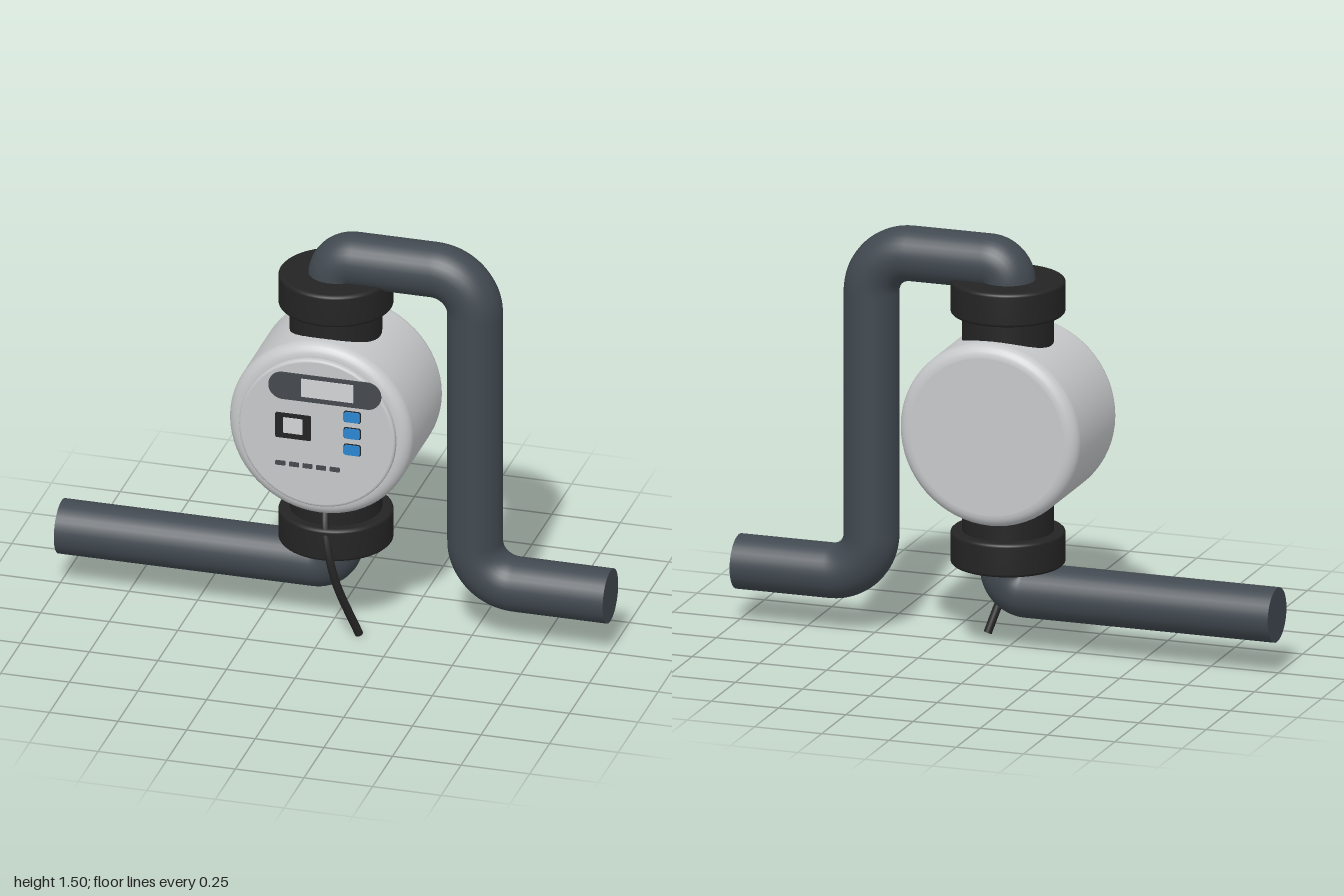
import * as THREE from 'three';

const mat = (name, color) => {
  const m = new THREE.MeshStandardMaterial({ color });
  m.name = name;
  return m;
};

export function createModel() {
  const group = new THREE.Group();
  const pipeGrey = mat('pipe slate', 0x414950);
  const black = mat('fitting black', 0x242424);
  const shell = mat('shell grey', 0xc6c8ca);
  const panelGrey = mat('panel dark grey', 0x44484e);
  const screenGrey = mat('screen light grey', 0xd2d3d5);
  const blue = mat('button blue', 0x2a86d0);
  const Z = -0.014; // plane of the pipes
  const CY = 0.825; // centre height of the pump body

  const add = (name, geometry, material, x = 0, y = 0, z = 0) => {
    const mesh = new THREE.Mesh(geometry, material);
    mesh.name = name;
    mesh.position.set(x, y, z);
    group.add(mesh);
    return mesh;
  };

  // Solid of revolution with rounded rims, from y = a to y = b
  const drum = (radius, a, b, bevel, steps = 6) => {
    const pts = [new THREE.Vector2(0, a), new THREE.Vector2(radius - bevel - 0.002, a)];
    for (let i = 0; i <= steps; i++) {
      const t = (i / steps) * Math.PI / 2;
      pts.push(new THREE.Vector2(radius - bevel + bevel * Math.sin(t), a + bevel - bevel * Math.cos(t)));
    }
    for (let i = 0; i <= steps; i++) {
      const t = (i / steps) * Math.PI / 2;
      pts.push(new THREE.Vector2(radius - bevel + bevel * Math.cos(t), b - bevel + bevel * Math.sin(t)));
    }
    pts.push(new THREE.Vector2(radius - bevel - 0.002, b), new THREE.Vector2(0, b));
    return new THREE.LatheGeometry(pts, 64);
  };

  // Closed tube along straight runs joined by rounded corners [x, y, bend radius]
  const pipe = (name, corners, radius) => {
    const path = new THREE.CurvePath();
    const v = corners.map(([x, y]) => new THREE.Vector3(x, y, Z));
    let from = v[0];
    for (let i = 1; i < v.length - 1; i++) {
      const r = corners[i][2];
      const a = v[i].clone().add(v[i - 1].clone().sub(v[i]).setLength(r));
      const b = v[i].clone().add(v[i + 1].clone().sub(v[i]).setLength(r));
      path.add(new THREE.LineCurve3(from, a));
      path.add(new THREE.CubicBezierCurve3(a, a.clone().lerp(v[i], 0.5523), b.clone().lerp(v[i], 0.5523), b));
      from = b;
    }
    path.add(new THREE.LineCurve3(from, v[v.length - 1]));
    add(name, new THREE.TubeGeometry(path, 200, radius, 32), pipeGrey);
    for (const t of [0, 1]) {
      const cap = add(name + 'End', new THREE.CircleGeometry(radius, 32), pipeGrey);
      const p = path.getPointAt(t);
      cap.position.copy(p);
      cap.lookAt(p.clone().addScaledVector(path.getTangentAt(t), t ? 1 : -1));
    }
  };

  // Pipework
  pipe('inletPipe', [[-1, 0.215], [0, 0.215, 0.075], [0, 0.4]], 0.098);
  pipe('outletPipe', [[0, 1.25], [0, 1.4, 0.07], [0.507, 1.4, 0.15], [0.507, 0.215, 0.15], [1, 0.215]], 0.098);

  // Union nuts and necks
  for (const [name, nutY, neckY] of [['lower', 0.37, 0.51], ['upper', 1.282, 1.14]]) {
    add(name + 'UnionNut', drum(0.202, -0.061, 0.061, 0.012, 3), black, 0, nutY, Z);
    add(name + 'Neck', new THREE.CylinderGeometry(0.162, 0.162, 0.2, 48), black, 0, neckY, Z);
  }

  // Pump body and raised front plate
  add('pumpBody', drum(0.333, -0.235, 0.208, 0.045), shell, 0, CY, 0).rotation.x = Math.PI / 2;
  add('frontPlate', drum(0.285, 0.19, 0.228, 0.009, 3), shell, 0, CY, 0).rotation.x = Math.PI / 2;

  // Rounded plate lying on the front
  const plate = (name, x, y, w, h, r, z, depth, material) => {
    const s = new THREE.Shape();
    const a = w / 2 - r, b = h / 2 - r;
    s.absarc(a, b, r, 0, Math.PI / 2);
    s.absarc(-a, b, r, Math.PI / 2, Math.PI);
    s.absarc(-a, -b, r, Math.PI, Math.PI * 1.5);
    s.absarc(a, -b, r, Math.PI * 1.5, Math.PI * 2);
    s.closePath();
    add(name, new THREE.ExtrudeGeometry(s, { depth, bevelEnabled: false, curveSegments: 10 }), material, x, y, z);
  };

  // Control panel
  plate('displayPanel', 0.03, 0.998, 0.41, 0.104, 0.051, 0.227, 0.006, panelGrey);
  plate('displayScreen', 0.04, 1, 0.19, 0.07, 0.002, 0.232, 0.003, screenGrey);
  plate('modeFrame', -0.085, 0.843, 0.13, 0.096, 0.006, 0.227, 0.006, black);
  plate('modeWindow', -0.085, 0.846, 0.07, 0.06, 0.002, 0.232, 0.003, screenGrey);
  for (const y of [0.908, 0.844, 0.78]) {
    plate('buttonRim', 0.13, y, 0.062, 0.044, 0.008, 0.227, 0.004, black);
    plate('button', 0.13, y, 0.056, 0.038, 0.007, 0.229, 0.008, blue);
  }
  for (let i = 0; i < 5; i++) {
    plate('indicator', -0.132 + i * 0.0495, 0.695, 0.036, 0.017, 0.003, 0.227, 0.005, panelGrey);
  }

  // Power cable
  const cable = new THREE.CatmullRomCurve3([
    [0, 0.51, 0.12], [0.013, 0.43, 0.165], [0.034, 0.33, 0.189], [0.06, 0.22, 0.182], [0.12, 0.006, 0.11],
  ].map((p) => new THREE.Vector3(...p)));
  add('powerCable', new THREE.TubeGeometry(cable, 40, 0.015, 12), black);
  const tip = add('powerCableEnd', new THREE.CircleGeometry(0.015, 12), black);
  tip.position.copy(cable.getPoint(1));
  tip.lookAt(cable.getPoint(1).add(cable.getTangent(1)));

  return group;
}
